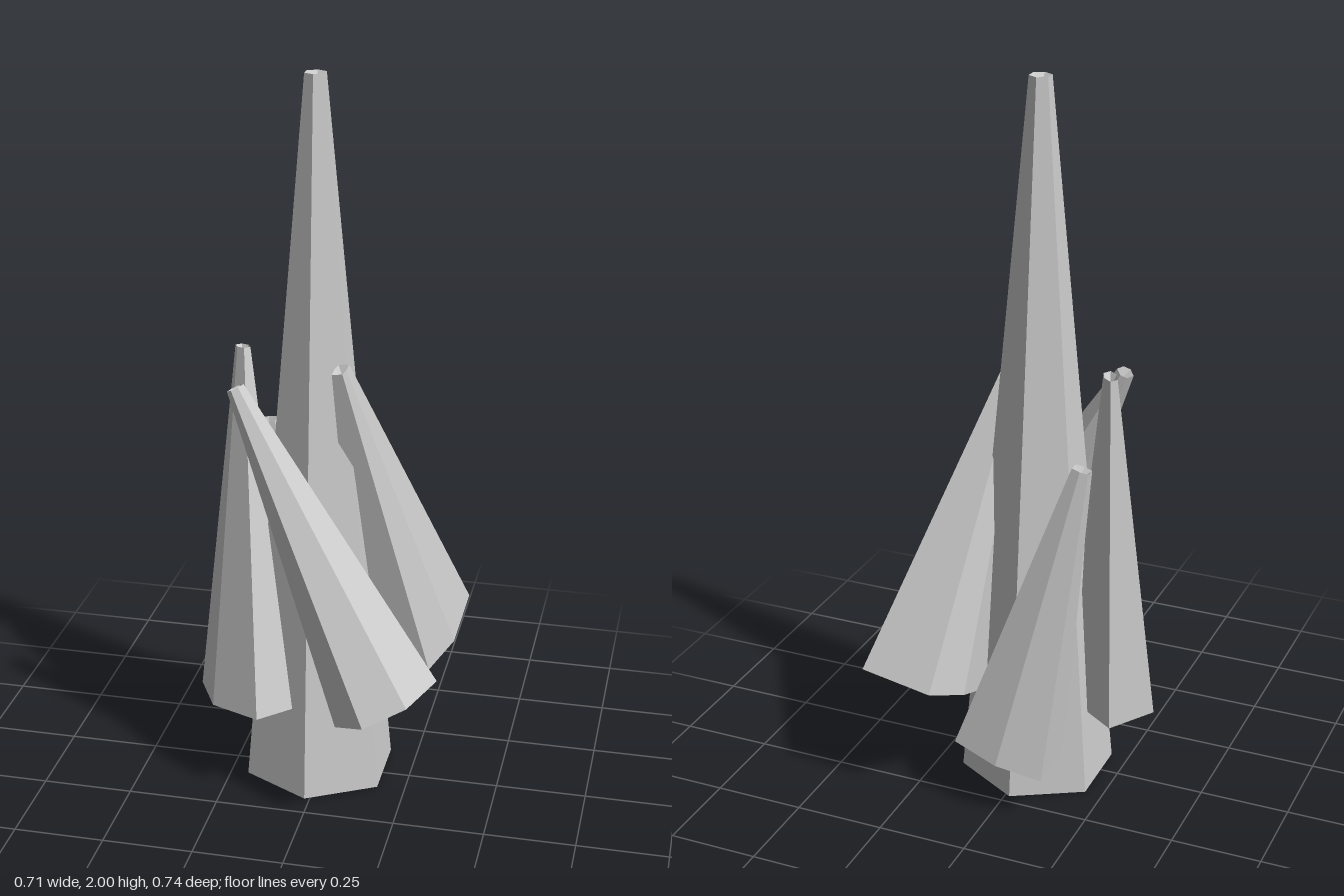
import * as THREE from 'three';

// Tapered six-sided crystal. "half" holds three base corners [dx, dz] around the
// base centre; the other three are their point mirrors. Both ends are cut
// square to the axis and the tip is slightly hollow.
function crystal(name, base, tip, half, taper, notch) {
  const b = new THREE.Vector3(...base);
  const t = new THREE.Vector3(...tip);
  const axis = t.clone().sub(b);
  const offsets = [...half, ...half.map(([x, z]) => [-x, -z])].map(
    ([x, z]) => new THREE.Vector3(x, -(axis.x * x + axis.z * z) / axis.y, z)
  );
  const low = offsets.map((o) => b.clone().add(o));
  const high = offsets.map((o) => t.clone().addScaledVector(o, taper));
  const hollow = t.clone().addScaledVector(axis.clone().normalize(), -notch);

  const points = [];
  for (let i = 0; i < 6; i++) {
    const j = (i + 1) % 6;
    points.push(low[i], high[i], high[j], low[i], high[j], low[j]); // side
    points.push(b, low[i], low[j]); // base
    points.push(hollow, high[j], high[i]); // tip
  }
  const geometry = new THREE.BufferGeometry().setFromPoints(points);
  geometry.computeVertexNormals();
  const mesh = new THREE.Mesh(
    geometry,
    new THREE.MeshStandardMaterial({ color: 0xcccccc, flatShading: true })
  );
  mesh.name = name;
  return mesh;
}

export function createModel() {
  const group = new THREE.Group();
  group.name = 'crystalCluster';
  group.add(
    // Tall central spire
    crystal('mainCrystal', [-0.013, 0.005, -0.018], [-0.029, 2, -0.04],
      [[0.187, -0.104], [0.187, 0.104], [0, 0.207]], 0.14, 0.025),
    // Leaning side shards
    crystal('frontCrystal', [0.22, 0.355, 0.22], [-0.215, 1.185, 0.1],
      [[0.13, -0.045], [0.075, 0.11], [-0.035, 0.15]], 0.16, 0.03),
    crystal('backLeftCrystal', [0.22, 0.335, -0.232], [0.06, 1.245, 0.065],
      [[0.135, -0.138], [0.12, 0.037], [0.065, 0.142]], 0.14, 0.03),
    crystal('rightCrystal', [-0.2, 0.245, 0.06], [-0.237, 1.24, -0.07],
      [[0.065, 0.175], [-0.08, 0.095], [-0.155, -0.065]], 0.15, 0.03),
    crystal('backCrystal', [-0.01, 0.16, -0.215], [-0.19, 1, -0.145],
      [[-0.135, -0.1], [-0.01, -0.12], [0.125, -0.085]], 0.18, 0.03)
  );
  return group;
}
